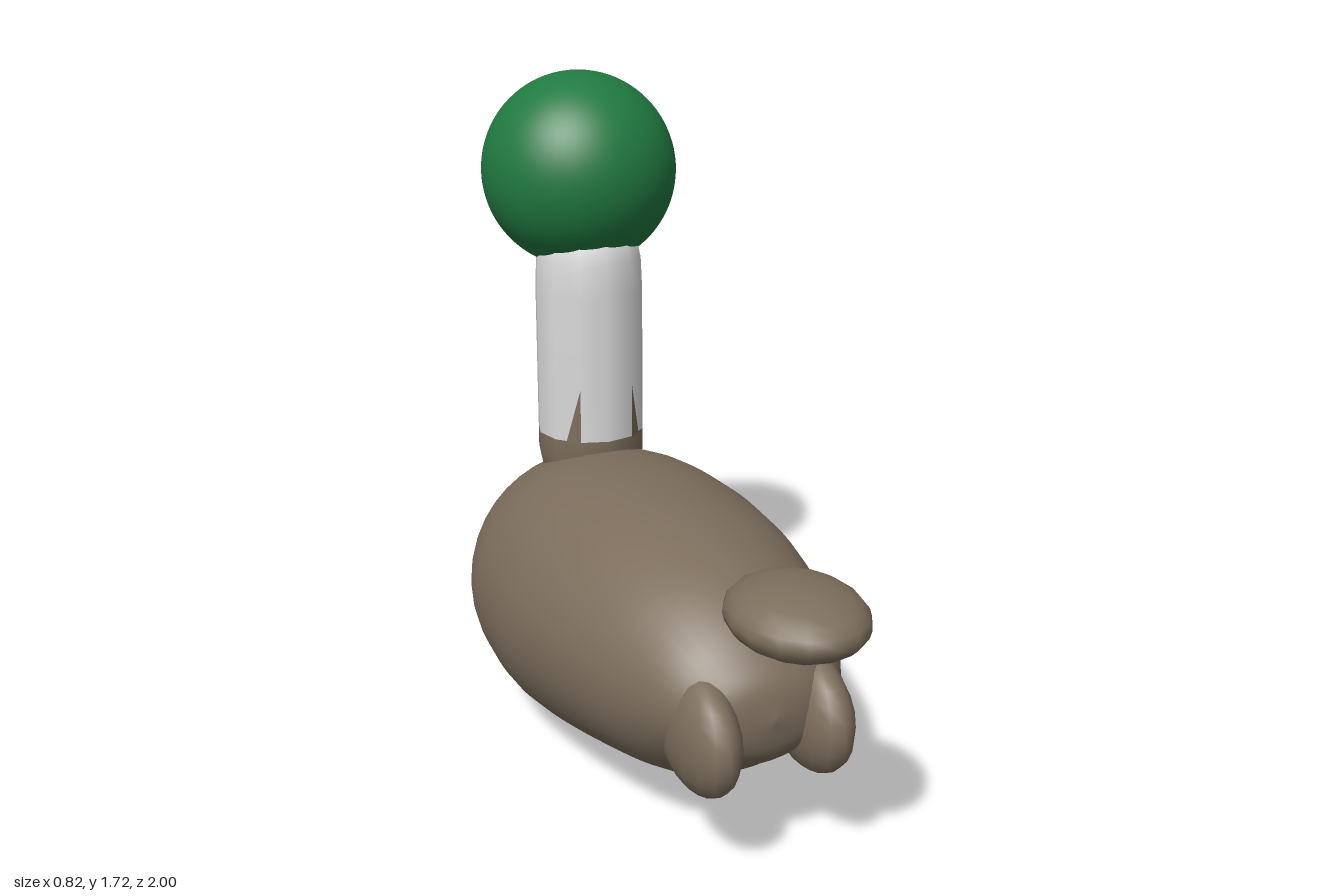
import * as THREE from 'three';

const mat = (name, color) => {
  const m = new THREE.MeshStandardMaterial({ color });
  m.name = name;
  return m;
};

// Lofts elliptical rings along z; each station is [z, top, bottom, halfWidth]
function loft(stations, steps, sides) {
  const heights = new THREE.CatmullRomCurve3(
    stations.map(s => new THREE.Vector3(s[0], s[1], s[2])), false, 'catmullrom');
  const widths = new THREE.CatmullRomCurve3(
    stations.map(s => new THREE.Vector3(s[3], 0, 0)), false, 'catmullrom');
  const pos = [], index = [];
  for (let i = 0; i <= steps; i++) {
    const p = heights.getPoint(i / steps), w = Math.max(widths.getPoint(i / steps).x, 0);
    for (let j = 0; j < sides; j++) {
      const a = j / sides * Math.PI * 2;
      pos.push(w * Math.cos(a), (p.y + p.z) / 2 + (p.y - p.z) / 2 * Math.sin(a), p.x);
      if (i === steps) continue;
      const k = (j + 1) % sides, a0 = i * sides, a1 = a0 + sides;
      index.push(a0 + j, a0 + k, a1 + j, a0 + k, a1 + k, a1 + j);
    }
  }
  const g = new THREE.BufferGeometry();
  g.setAttribute('position', new THREE.Float32BufferAttribute(pos, 3));
  g.setIndex(index);
  g.computeVertexNormals();
  return g;
}

export function createModel() {
  const brown = mat('brown feathers', 0x7d6e5d);
  const green = mat('green head', 0x217a41);
  const white = mat('white neck', 0xdadada);
  const orange = mat('orange bill', 0xd6930c);
  const duck = new THREE.Group();
  duck.name = 'duck';

  const add = (name, geometry, material) => {
    const mesh = new THREE.Mesh(geometry, material);
    mesh.name = name;
    duck.add(mesh);
    return mesh;
  };
  const ellipsoid = (name, material, center, radii) => {
    const mesh = add(name, new THREE.SphereGeometry(1, 16, 12), material);
    mesh.position.set(...center);
    mesh.scale.set(...radii);
    return mesh;
  };

  // Body, from the breast (-z) to the rump (+z)
  add('body', loft([
    [-0.73, 0.36, 0.35, 0], [-0.72, 0.44, 0.27, 0.085], [-0.69, 0.51, 0.21, 0.165],
    [-0.64, 0.575, 0.145, 0.235], [-0.57, 0.63, 0.095, 0.295], [-0.46, 0.68, 0.043, 0.355],
    [-0.32, 0.718, 0.013, 0.397], [-0.15, 0.737, 0.005, 0.41], [0, 0.742, 0.028, 0.405],
    [0.2, 0.737, 0.075, 0.375], [0.38, 0.71, 0.122, 0.33], [0.5, 0.675, 0.165, 0.285],
    [0.6, 0.62, 0.235, 0.238], [0.67, 0.56, 0.285, 0.185], [0.715, 0.505, 0.335, 0.115],
    [0.735, 0.43, 0.42, 0],
  ], 60, 40), brown);

  // Floating tail tuft and tucked feet
  ellipsoid('tail', brown, [0, 0.725, 0.815], [0.155, 0.077, 0.187]);
  for (const side of [-1, 1]) {
    ellipsoid(side > 0 ? 'leftFoot' : 'rightFoot', brown, [side * 0.142, 0.375, 0.625], [0.077, 0.147, 0.178]);
  }

  // Neck: brown rounded base with a white upper band
  const R = 0.148, neckZ = -0.45;
  const lathe = pts => new THREE.LatheGeometry(pts.map(p => new THREE.Vector2(...p)), 12);
  add('neckBase', lathe([[0, 0.54], [0.09, 0.57], [0.135, 0.63], [R, 0.69], [R, 0.75]]), brown).position.z = neckZ;
  add('neckBand', lathe([[R, 0.75], [R, 1.15], [0.144, 1.24], [0.125, 1.32], [0, 1.38]]), white).position.z = neckZ;

  // Pointed feather marks on the tail side of the neck
  for (const side of [-1, 1]) {
    const r = R + 0.002;
    const at = deg => [side * r * Math.sin(deg * Math.PI / 180), r * Math.cos(deg * Math.PI / 180)];
    const [x0, z0] = at(30), [x2, z2] = at(60);
    const x1 = x0 + (x2 - x0) * 0.58, z1 = z0 + (z2 - z0) * 0.58;
    const tip = [x0, 0.9, z0], low = [x0, 0.745, z0], out = [x1, 0.745, z1];
    const g = new THREE.BufferGeometry();
    const corners = side > 0 ? [tip, low, out] : [tip, out, low];
    g.setAttribute('position', new THREE.Float32BufferAttribute(corners.flat(), 3));
    g.computeVertexNormals();
    add('neckMark', g, brown).position.z = neckZ;
  }

  // Head with a ragged orange face patch, chosen face by face
  const head = new THREE.SphereGeometry(0.263, 64, 44).toNonIndexed();
  const p = head.attributes.position, faces = [[], []];
  for (let i = 0; i < p.count; i += 3) {
    const mid = axis => (p[axis](i) + p[axis](i + 1) + p[axis](i + 2)) / 3;
    const x = mid('getX'), y = mid('getY'), z = mid('getZ');
    const jag = 0.012 * Math.sin(y * 140) + 0.008 * Math.sin(x * 170);
    const patch = z < -0.205 + jag && Math.abs(x) < 0.15 + jag && y > -0.13 + jag && y < 0.15 + jag;
    faces[patch ? 1 : 0].push(i, i + 1, i + 2);
  }
  head.setIndex(faces.flat());
  head.addGroup(0, faces[0].length, 0);
  head.addGroup(faces[0].length, faces[1].length, 1);
  add('head', head, [green, orange]).position.set(0, 1.463, -0.515);

  // Bill
  ellipsoid('bill', orange, [0, 1.408, -0.82], [0.082, 0.037, 0.178]);

  return duck;
}
